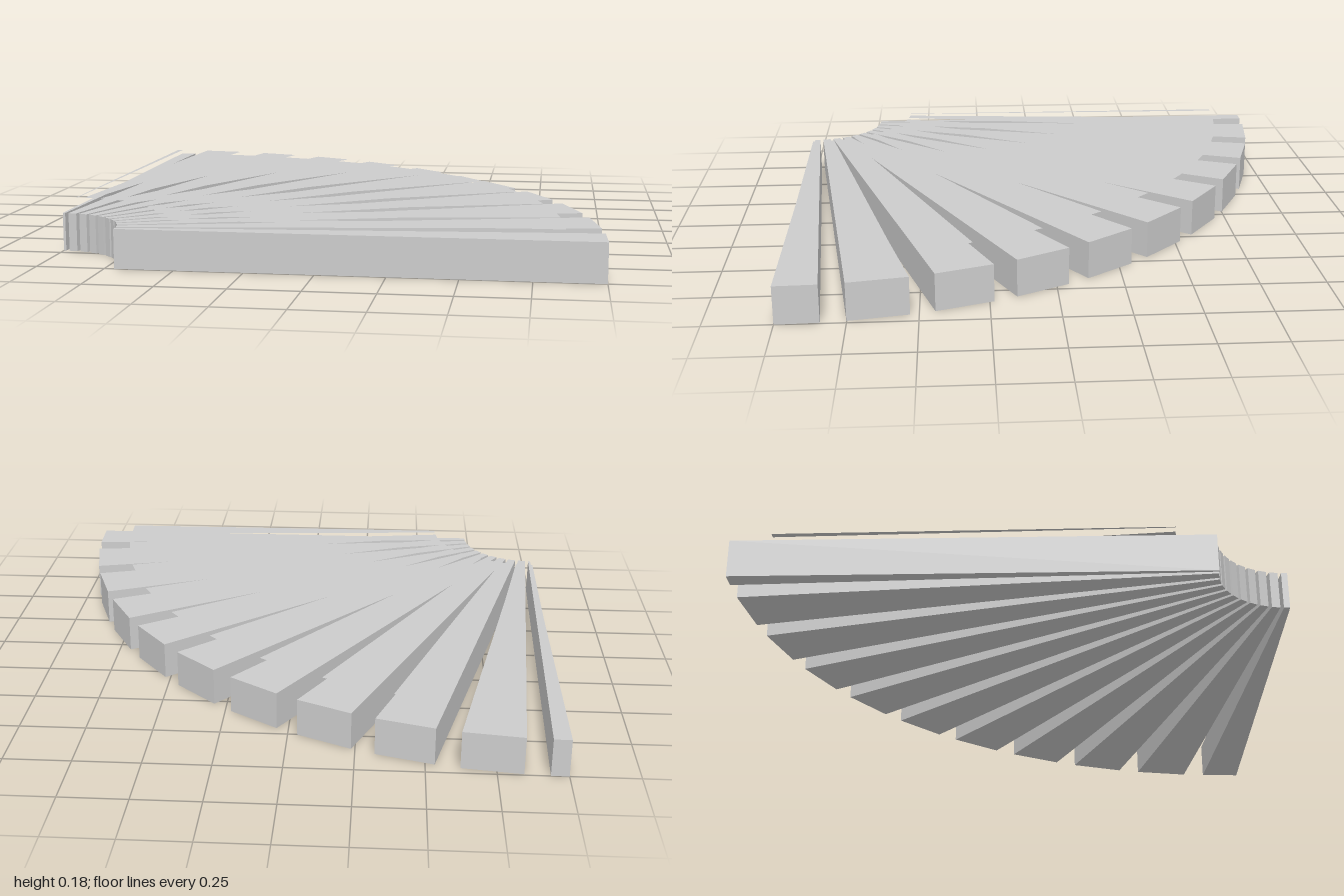
import * as THREE from 'three';

const RAD = Math.PI / 180;

// Straight-sided wedge around the fan's corner, angles in degrees
function wedge(inner, outer, from, to) {
  const point = (r, a) => new THREE.Vector2(r * Math.cos(a * RAD) - 1, r * Math.sin(a * RAD) - 1);
  return new THREE.Shape([point(inner, from), point(outer, from), point(outer, to), point(inner, to)]);
}

export function createModel() {
  const model = new THREE.Group();
  model.name = 'quarterFan';
  const grey = new THREE.MeshStandardMaterial({ color: 0xcccccc, side: THREE.DoubleSide });
  grey.name = 'light grey';

  const height = 0.143;
  const lift = 0.036;
  const inset = 0.57;

  for (let i = 0; i <= 10; i++) {
    // The first and last wedges are cut off by the quarter circle
    const from = Math.max(0, 9 * i - 1.85);
    const to = Math.min(90, 9 * i + 4.53);

    const segment = new THREE.Group();
    segment.name = `segment${i + 1}`;

    // Solid wedge block
    const blockShape = wedge(0.286, 2, from, to);
    const blockGeometry = new THREE.ExtrudeGeometry(blockShape, { depth: height, bevelEnabled: false });
    blockGeometry.rotateX(-Math.PI / 2);
    const block = new THREE.Mesh(blockGeometry, grey);
    block.name = 'block';

    // Thin sheet hovering just above the block
    const sheetGeometry = new THREE.ShapeGeometry(wedge(0.428, 1.857, from + inset, to - inset));
    sheetGeometry.rotateX(-Math.PI / 2);
    const sheet = new THREE.Mesh(sheetGeometry, grey);
    sheet.name = 'topSheet';
    sheet.position.y = height + lift;

    segment.add(block, sheet);
    model.add(segment);
  }
  return model;
}
